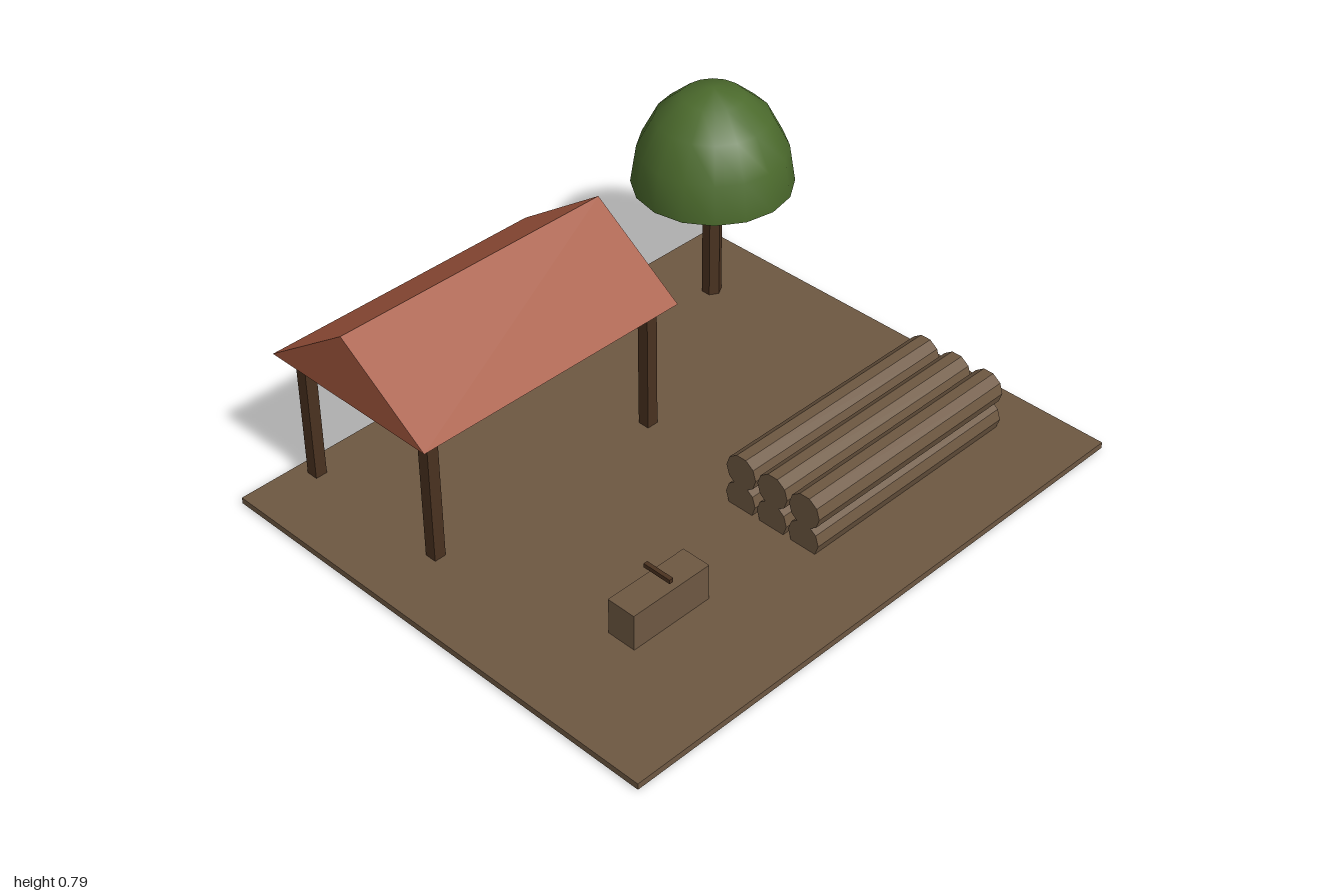
import * as THREE from 'three';

export function createModel() {
  const model = new THREE.Group();
  model.name = 'woodYard';

  const mat = (name, color) => {
    const m = new THREE.MeshStandardMaterial({ color });
    m.name = name;
    return m;
  };
  const earth = mat('earthBrown', 0x6e5842);
  const darkWood = mat('darkWood', 0x4a3220);
  const tile = mat('roofRed', 0xa5583f);
  const leaf = mat('leafGreen', 0x4c6b2d);

  const add = (name, geometry, material, x, y, z) => {
    const mesh = new THREE.Mesh(geometry, material);
    mesh.name = name;
    mesh.position.set(x, y, z);
    model.add(mesh);
    return mesh;
  };
  // Box placed by its lowest y
  const box = (name, material, w, h, d, x, y0, z) =>
    add(name, new THREE.BoxGeometry(w, h, d), material, x, y0 + h / 2, z);
  // Faceted geometry with hard edges
  const faceted = (geometry) => {
    const g = geometry.toNonIndexed();
    g.computeVertexNormals();
    return g;
  };

  // Ground slab
  box('ground', earth, 1.98, 0.021, 1.65, -0.01, 0.006, 0.005);

  // Open shelter: four posts and a closed gable roof
  for (const x of [-0.77, 0.09]) {
    for (const z of [-0.22, -0.753]) box('shelterPost', darkWood, 0.04, 0.467, 0.04, x, 0, z);
  }
  const gable = new THREE.Shape([
    new THREE.Vector2(-0.33, 0),
    new THREE.Vector2(0.33, 0),
    new THREE.Vector2(0, 0.23),
  ]);
  const roof = new THREE.ExtrudeGeometry(gable, { depth: 0.99, bevelEnabled: false });
  roof.translate(0, 0, -0.495);
  roof.rotateY(Math.PI / 2);
  add('roof', roof, tile, -0.337, 0.465, -0.49);

  // Tree: six-sided trunk, domed crown with a flat underside
  add('treeTrunk', faceted(new THREE.CylinderGeometry(0.033, 0.033, 0.46, 6)), darkWood, 0.735, 0.23, -0.57);
  const dome = new THREE.SphereGeometry(0.262, 16, 4, 0, Math.PI * 2, 0, Math.PI / 2);
  dome.scale(1, 0.34 / 0.262, 1);
  add('treeCrown', dome, leaf, 0.735, 0.45, -0.57);
  const underside = new THREE.CircleGeometry(0.262, 16);
  underside.rotateX(Math.PI / 2);
  add('crownUnderside', underside, leaf, 0.735, 0.45, -0.57);

  // Log pile: two layers of three
  const log = new THREE.CylinderGeometry(0.058, 0.058, 0.825, 10);
  log.rotateZ(Math.PI / 2);
  const logGeometry = faceted(log);
  for (const y of [0.062, 0.161]) {
    for (const z of [0.261, 0.384, 0.507]) add('log', logGeometry, earth, 0.4025, y, z);
  }

  // Chopping block with a thin bar above it
  box('choppingBlock', earth, 0.295, 0.143, 0.1, -0.505, 0.008, 0.417);
  box('toolHandle', darkWood, 0.014, 0.014, 0.1, -0.507, 0.18, 0.417);

  return model;
}
